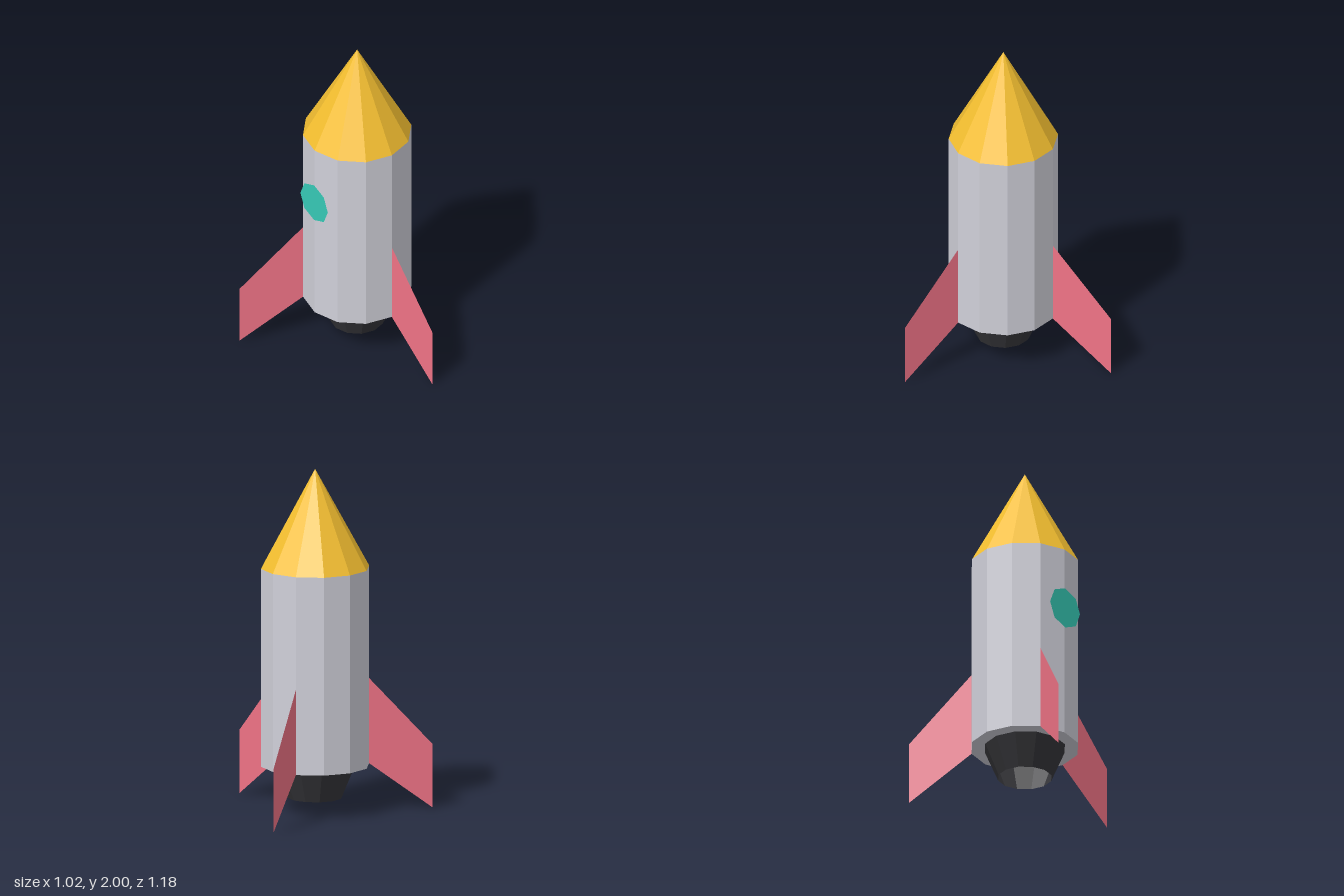
import * as THREE from 'three';

const SIDES = 12;
const RADIUS = 0.314;

function mat(color, side = THREE.FrontSide) {
  return new THREE.MeshStandardMaterial({ color, side, flatShading: true });
}

// Faceted ring or cone between two heights
function tapered(name, rTop, rBottom, yBottom, yTop, material, open = false) {
  const geo = new THREE.CylinderGeometry(rTop, rBottom, yTop - yBottom, SIDES, 1, open);
  const mesh = new THREE.Mesh(geo, material);
  mesh.name = name;
  mesh.position.y = (yTop + yBottom) / 2;
  return mesh;
}

export function createModel() {
  const rocket = new THREE.Group();
  rocket.name = 'rocket';
  rocket.position.x = -0.171; // three fins make the outline asymmetric in x

  // Hull, nose and open engine nozzle
  rocket.add(tapered('body', RADIUS, RADIUS, 0.27, 1.425, mat(0xd0d0d9)));
  rocket.add(tapered('noseCone', 0, RADIUS, 1.425, 2, mat(0xf4bf30)));
  rocket.add(tapered('nozzle', 0.236, 0.157, 0.083, 0.27, mat(0x36363a, THREE.DoubleSide), true));

  // Flat octagonal window on the front
  const porthole = new THREE.Mesh(new THREE.CircleGeometry(0.124, 8), mat(0x36c9b6));
  porthole.name = 'window';
  porthole.position.set(0, 1.055, 0.318);
  rocket.add(porthole);

  // Three thin swept fins, 120 degrees apart
  const finGeo = new THREE.ShapeGeometry(new THREE.Shape([
    new THREE.Vector2(RADIUS, 0.27),
    new THREE.Vector2(0.682, 0),
    new THREE.Vector2(0.682, 0.37),
    new THREE.Vector2(RADIUS, 0.767),
  ]));
  const finMat = mat(0xf07386, THREE.DoubleSide);
  for (let i = 0; i < 3; i++) {
    const fin = new THREE.Mesh(finGeo, finMat);
    fin.name = `fin${i + 1}`;
    fin.rotation.y = (i * Math.PI * 2) / 3;
    rocket.add(fin);
  }

  const model = new THREE.Group();
  model.add(rocket);
  return model;
}
